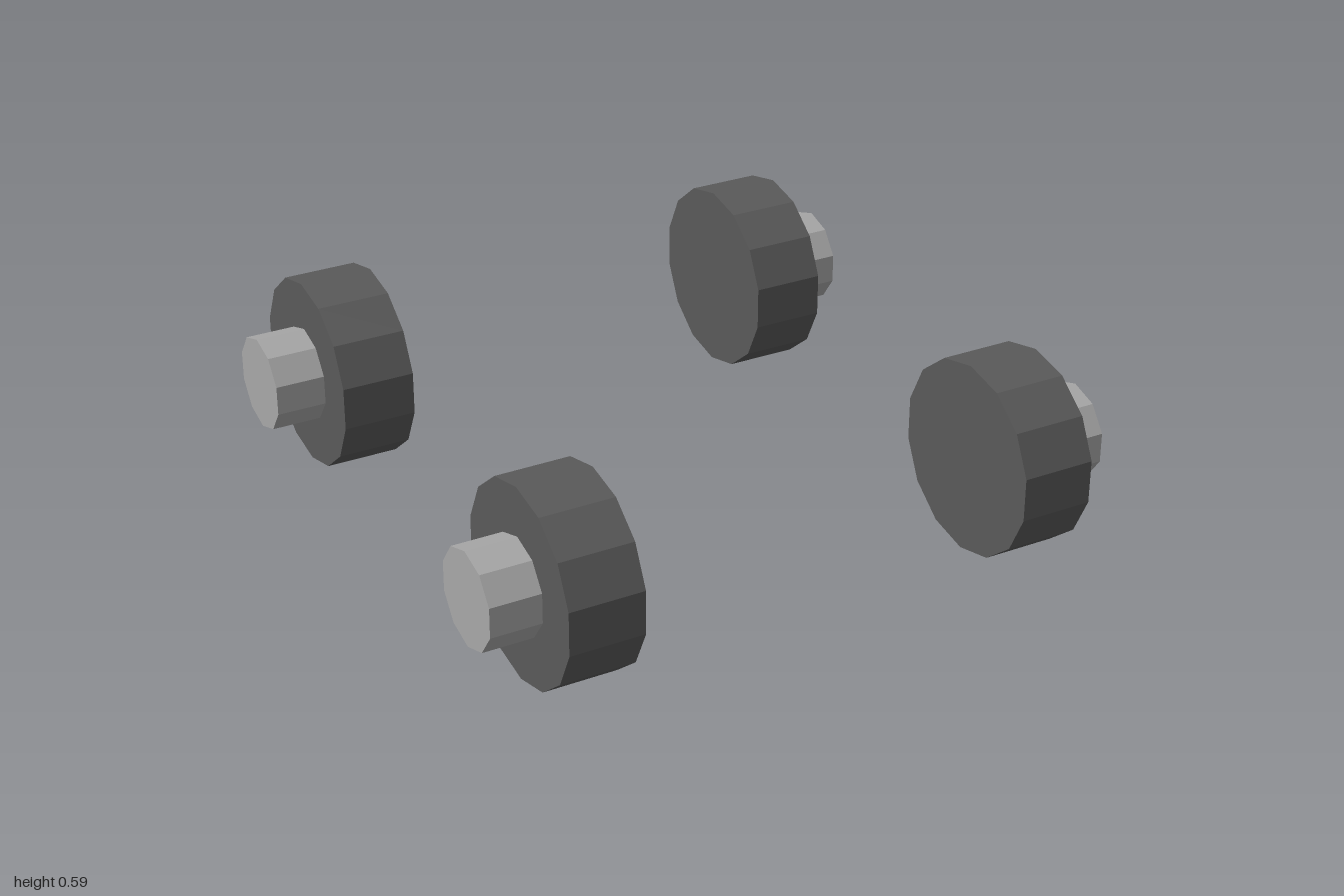
import * as THREE from 'three';

const INNER = 0.6, OUTER = 0.824, HUB_END = 0.976; // distances along x
const AXLE_Y = 0.294, AXLE_Z = 0.714;

// Prism lying along x between x0 and x1, with one corner pointing straight up
function prism(name, radius, x0, x1, sides, material) {
  const geometry = new THREE.CylinderGeometry(radius, radius, x1 - x0, sides);
  geometry.rotateY(Math.PI / 2);
  geometry.rotateZ(Math.PI / 2);
  const mesh = new THREE.Mesh(geometry.toNonIndexed(), material);
  mesh.geometry.computeVertexNormals();
  mesh.name = name;
  mesh.position.x = (x0 + x1) / 2;
  return mesh;
}

export function createModel() {
  const rubber = new THREE.MeshStandardMaterial({ color: 0x5a5a5a });
  rubber.name = 'dark grey rubber';
  const metal = new THREE.MeshStandardMaterial({ color: 0xa8a8a8 });
  metal.name = 'light grey metal';

  const model = new THREE.Group();
  model.name = 'wheelSet';

  for (const [end, sz] of [['front', 1], ['rear', -1]]) {
    for (const [side, sx] of [['Left', 1], ['Right', -1]]) {
      const wheel = new THREE.Group();
      wheel.name = `${end}${side}Wheel`;
      // Hub sits on the outward face of the tyre
      wheel.add(
        prism('tyre', 0.293, INNER, OUTER, 14, rubber),
        prism('hub', 0.145, OUTER - 0.02, HUB_END, 10, metal),
      );
      wheel.position.set(0, AXLE_Y, sz * AXLE_Z);
      // The right side is the left side turned half way round
      if (sx < 0) wheel.rotation.y = Math.PI;
      model.add(wheel);
    }
  }
  return model;
}
